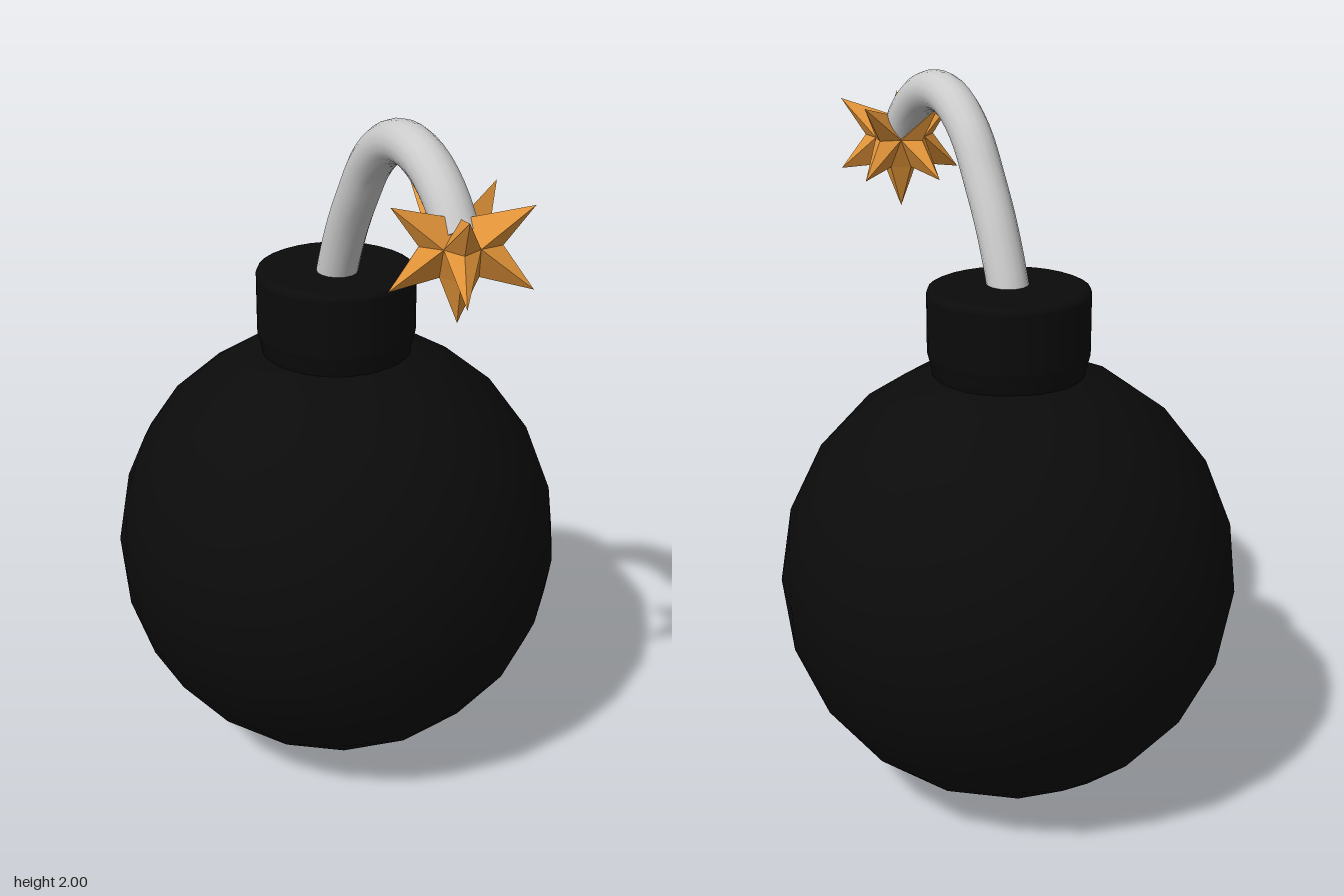
import * as THREE from 'three';

const black = new THREE.MeshStandardMaterial({ color: 0x0b0b0b });
const grey = new THREE.MeshStandardMaterial({ color: 0xcccccc });
const orange = new THREE.MeshStandardMaterial({ color: 0xe5963a });
orange.flatShading = true;

function add(group, name, geometry, material, x = 0, y = 0, z = 0) {
  const mesh = new THREE.Mesh(geometry, material);
  mesh.name = name;
  mesh.position.set(x, y, z);
  group.add(mesh);
  return mesh;
}

// Spiky burst: two rings of five four-sided spikes and one spike pointing down
function sparkGeometry() {
  const at = (r, angle, y) => new THREE.Vector3(r * Math.cos(angle), y, r * Math.sin(angle));
  const positions = [];
  const normal = new THREE.Vector3();
  const triangle = (a, b, c) => {
    new THREE.Triangle(a, b, c).getNormal(normal);
    const outward = normal.dot(a.clone().add(b).add(c)) > 0;
    for (const p of outward ? [a, b, c] : [a, c, b]) positions.push(p.x, p.y, p.z);
  };
  const spike = (tip, base) => base.forEach((p, i) => triangle(tip, p, base[(i + 1) % base.length]));

  const step = (Math.PI * 2) / 5;
  const top = at(0, 0, 0.055);
  const lowBase = [];
  for (let k = 0; k < 5; k++) {
    const a = Math.PI + k * step;
    const before = at(0.075, a - step / 2, 0);
    const after = at(0.075, a + step / 2, 0);
    const middle = at(0.105, a, 0);
    const low = at(0.05, a, -0.085);
    lowBase.push(low);
    spike(at(0.178, a, 0.104), [top, before, middle, after]);
    spike(at(0.182, a, -0.104), [low, before, middle, after]);
    triangle(low, after, at(0.05, a + step, -0.085));
  }
  spike(at(0, 0, -0.208), lowBase);

  const geometry = new THREE.BufferGeometry();
  geometry.setAttribute('position', new THREE.Float32BufferAttribute(positions, 3));
  geometry.computeVertexNormals();
  return geometry;
}

export function createModel() {
  const group = new THREE.Group();
  group.name = 'bomb';
  const axisZ = -0.107;

  // Round body: subdivided icosahedron with a corner at each pole
  const ball = new THREE.IcosahedronGeometry(0.643, 3);
  ball.rotateZ(-Math.atan(2 / (1 + Math.sqrt(5))));
  add(group, 'body', ball, black, 0, 0.643, axisZ);

  // Neck with softly bevelled rims
  const profile = [
    [0, 1.18], [0.2, 1.18], [0.214, 1.265], [0.223, 1.3], [0.223, 1.3], [0.223, 1.465],
    [0.223, 1.465], [0.219, 1.477], [0.208, 1.482], [0.208, 1.482], [0, 1.482],
  ].map(([r, y]) => new THREE.Vector2(r, y));
  add(group, 'neck', new THREE.LatheGeometry(profile, 32), black, 0, 0, axisZ);

  // Curved fuse with closed ends
  const path = new THREE.CatmullRomCurve3([
    [-0.008, 1.4, -0.107], [-0.006, 1.49, -0.08], [0, 1.63, -0.02], [0.006, 1.74, 0.045],
    [0.012, 1.846, 0.12], [0.02, 1.918, 0.215], [0.028, 1.942, 0.315], [0.037, 1.918, 0.42],
    [0.046, 1.857, 0.505], [0.052, 1.78, 0.565],
  ].map((p) => new THREE.Vector3(...p)));
  const radius = 0.057;
  add(group, 'fuse', new THREE.TubeGeometry(path, 28, radius, 16), grey);
  for (const t of [0, 1]) {
    const end = path.getPointAt(t);
    const cap = add(group, 'fuseEnd', new THREE.CircleGeometry(radius, 16), grey, end.x, end.y, end.z);
    const outward = path.getTangentAt(t).multiplyScalar(t ? 1 : -1);
    cap.quaternion.setFromUnitVectors(new THREE.Vector3(0, 0, 1), outward);
  }

  // Burning spark at the fuse tip
  add(group, 'spark', sparkGeometry(), orange, 0.052, 1.774, 0.573);

  return group;
}
